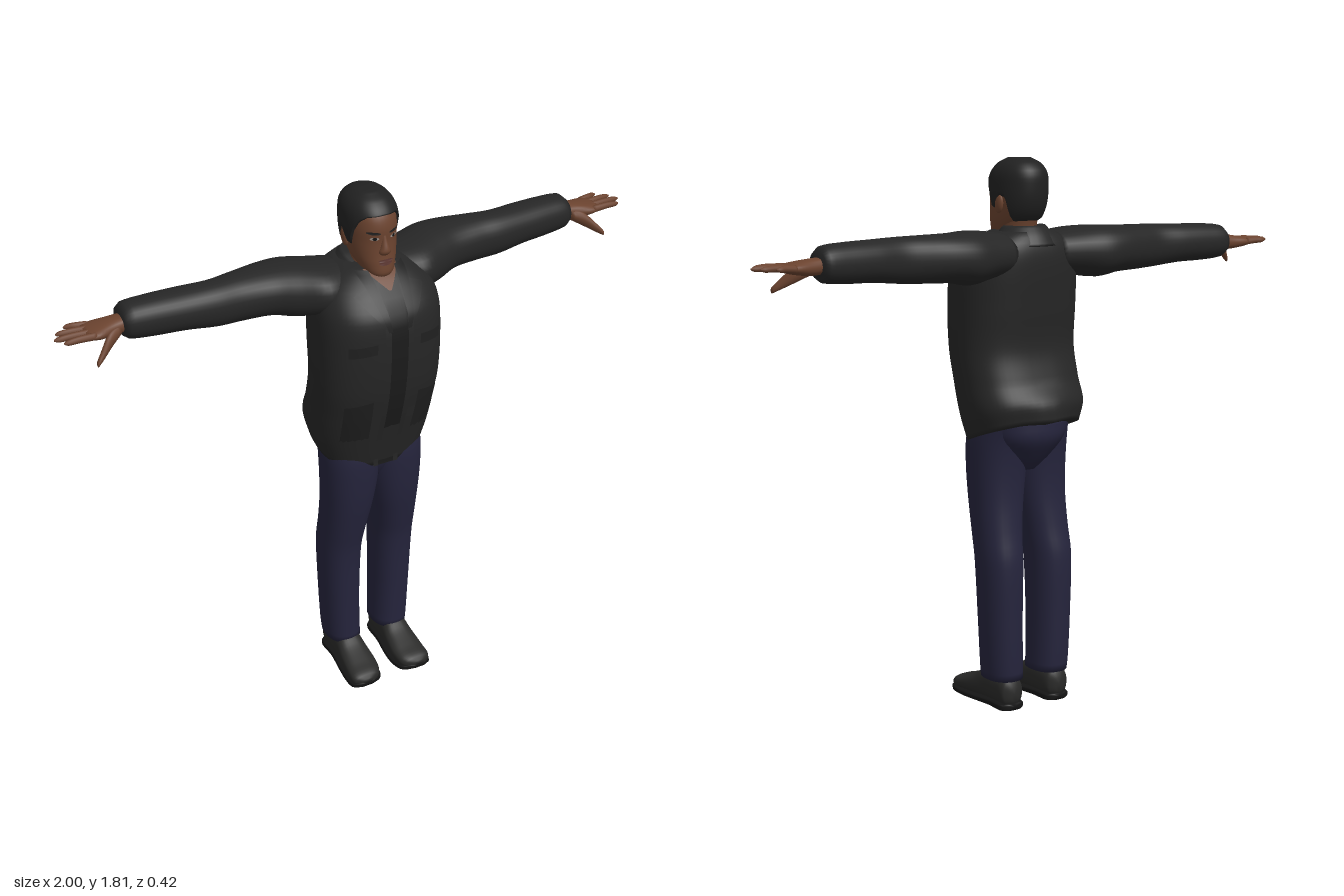
import * as THREE from 'three';

const mat = (name, color) => Object.assign(new THREE.MeshStandardMaterial({ color }), { name });

// Smooth interpolation of section rows [t, aMin, aMax, bMin, bMax] at position t.
function at(rows, t) {
  const n = rows.length - 1;
  let i = 0;
  while (i < n - 1 && t > rows[i + 1][0]) i++;
  const r0 = rows[i], r1 = rows[i + 1], d = r1[0] - r0[0];
  const s = Math.min(1, Math.max(0, (t - r0[0]) / d));
  const slope = (k, c) => {
    const p = rows[Math.max(0, k - 1)], q = rows[Math.min(n, k + 1)];
    return (q[c] - p[c]) / (q[0] - p[0]);
  };
  return [1, 2, 3, 4].map(c =>
    r0[c] * (1 + 2 * s) * (1 - s) ** 2 + r1[c] * s * s * (3 - 2 * s)
    + d * (slope(i, c) * s * (1 - s) ** 2 + slope(i + 1, c) * s * s * (s - 1)));
}

// Point on a superellipse section; axis 0, 1, 2 is the x, y or z direction of t.
function sectionPoint(rows, axis, t, u, p, grow = 0) {
  const [a0, a1, b0, b1] = at(rows, t), e = 2 / p;
  const c = Math.cos(u), s = Math.sin(u), v = [0, 0, 0];
  v[axis] = t;
  v[(axis + 1) % 3] = (a0 + a1) / 2 + ((a1 - a0) / 2 + grow) * Math.sign(c) * Math.abs(c) ** e;
  v[(axis + 2) % 3] = (b0 + b1) / 2 + ((b1 - b0) / 2 + grow) * Math.sign(s) * Math.abs(s) ** e;
  return new THREE.Vector3(...v);
}

// Closed skin over a grid of rings.
function skinRings(rings) {
  const pos = [], idx = [], m = rings[0].length, n = rings.length;
  rings.forEach(r => r.forEach(v => pos.push(v.x, v.y, v.z)));
  for (let i = 0; i < n - 1; i++) for (let j = 0; j < m; j++) {
    const a = i * m + j, b = i * m + (j + 1) % m;
    idx.push(a, b, b + m, a, b + m, a + m);
  }
  [0, n - 1].forEach((k, end) => {
    const c = rings[k].reduce((s, v) => s.add(v), new THREE.Vector3()).divideScalar(m);
    const id = pos.push(c.x, c.y, c.z) / 3 - 1;
    for (let j = 0; j < m; j++) {
      const a = k * m + j, b = k * m + (j + 1) % m;
      end ? idx.push(a, b, id) : idx.push(b, a, id);
    }
  });
  const g = new THREE.BufferGeometry();
  g.setAttribute('position', new THREE.Float32BufferAttribute(pos, 3));
  g.setIndex(idx);
  g.computeVertexNormals();
  return g;
}

function loft(rows, axis, { p = 2, steps = 24, segs = 32, warp = v => v } = {}) {
  const t0 = rows[0][0], t1 = rows[rows.length - 1][0];
  return skinRings(Array.from({ length: steps + 1 }, (_, i) =>
    Array.from({ length: segs }, (_, j) =>
      warp(sectionPoint(rows, axis, t0 + (t1 - t0) * i / steps, j / segs * 2 * Math.PI, p)))));
}

function mirrored(g) {
  const m = g.clone().scale(-1, 1, 1), ix = m.index.array;
  for (let i = 0; i < ix.length; i += 3) [ix[i], ix[i + 1]] = [ix[i + 1], ix[i]];
  m.computeVertexNormals();
  return m;
}

// Front z of an upright loft at (x, y).
function frontZ(rows, p, x, y) {
  const [z0, z1, x0, x1] = at(rows, y);
  const k = Math.min(1, Math.abs((x - (x0 + x1) / 2) / ((x1 - x0) / 2)));
  return (z0 + z1) / 2 + (z1 - z0) / 2 * (1 - k ** p) ** (1 / p);
}

// Lays a flat geometry onto the front of a loft.
function drape(g, rows, p, off) {
  const a = g.attributes.position;
  for (let i = 0; i < a.count; i++) a.setZ(i, frontZ(rows, p, a.getX(i), a.getY(i)) + off);
  g.computeVertexNormals();
  return g;
}

// Four-cornered panel: top left, top right, bottom left, bottom right.
function panel(tl, tr, bl, br, rows, p, off) {
  const g = new THREE.PlaneGeometry(1, 1, 8, 16), a = g.attributes.position;
  for (let i = 0; i < a.count; i++) {
    const u = a.getX(i) + 0.5, v = 0.5 - a.getY(i);
    const mix = k => (tl[k] * (1 - u) + tr[k] * u) * (1 - v) + (bl[k] * (1 - u) + br[k] * u) * v;
    a.setXY(i, mix(0), mix(1));
  }
  return drape(g, rows, p, off);
}

const JACKET = [
  [0.915, -0.175, 0.115, -0.183, 0.183], [1.0, -0.18, 0.14, -0.203, 0.203], [1.1, -0.145, 0.17, -0.207, 0.207],
  [1.2, -0.118, 0.192, -0.209, 0.209], [1.34, -0.13, 0.203, -0.209, 0.209], [1.45, -0.14, 0.195, -0.203, 0.203],
  [1.51, -0.14, 0.155, -0.185, 0.185], [1.55, -0.13, 0.115, -0.15, 0.15], [1.58, -0.11, 0.075, -0.095, 0.095]];
const HEAD = [
  [1.552, 0.06, 0.1, -0.02, 0.02], [1.565, 0.01, 0.115, -0.042, 0.042], [1.6, -0.05, 0.114, -0.062, 0.062],
  [1.63, -0.08, 0.11, -0.071, 0.071], [1.67, -0.098, 0.107, -0.076, 0.076], [1.72, -0.104, 0.107, -0.077, 0.077],
  [1.76, -0.1, 0.093, -0.071, 0.071], [1.788, -0.076, 0.062, -0.052, 0.052], [1.803, -0.04, 0.025, -0.025, 0.025]];
const JP = 2.6, HP = 2.2;

// Hairline height against the angle away from the face.
const HAIRLINE = [[0, 1.757], [0.6, 1.754], [0.95, 1.737], [1.2, 1.7], [1.35, 1.65], [1.5, 1.652], [1.65, 1.69],
  [1.9, 1.685], [2.1, 1.63], [2.4, 1.606], [3.15, 1.6]];
function hairline(u) {
  const i = Math.max(1, HAIRLINE.findIndex(h => h[0] >= u)), [a, b] = [HAIRLINE[i - 1], HAIRLINE[i]];
  return THREE.MathUtils.lerp(a[1], b[1], (u - a[0]) / (b[0] - a[0]));
}

export function createModel() {
  const model = new THREE.Group();
  model.name = 'standingMan';
  const cloth = mat('jacketCloth', 0x262626), trim = mat('jacketTrim', 0x202020), shirtMat = mat('shirt', 0x1b1b1b);
  const denim = mat('trousers', 0x25243c), skin = mat('skin', 0x6b432f), lip = mat('lips', 0x5c3732);
  const hairMat = mat('hair', 0x212121), leather = mat('shoeLeather', 0x2a2a29), soleMat = mat('sole', 0x151515);
  const eyeMat = mat('eyeWhite', 0x9a8f88);
  const add = (name, g, m) => {
    const mesh = new THREE.Mesh(g, m);
    mesh.name = name;
    model.add(mesh);
  };
  const pair = (name, g, m) => {
    add(name + 'Left', g, m);
    add(name + 'Right', mirrored(g), m);
  };

  // Jacket body, with a hem that dips in front and lifts behind
  add('jacketBody', loft(JACKET, 1, { p: JP, steps: 40, segs: 56, warp: v => {
    const k = Math.max(0, (1.1 - v.y) / 0.185);
    v.y += k * (v.z > 0 ? -0.35 * v.z : -0.35 * v.z);
    if (v.z < 0) v.z -= k * 0.03 * Math.max(0, 1 - Math.abs(v.x) / 0.1);
    return v;
  } }), cloth);
  const jPanel = (tl, tr, bl, br, off) => panel(tl, tr, bl, br, JACKET, JP, off);
  add('shirtFront', jPanel([-0.035, 1.55], [0.035, 1.55], [-0.03, 0.875], [0.03, 0.875], 0.004), shirtMat);
  add('throat', jPanel([-0.058, 1.58], [0.058, 1.58], [-0.004, 1.527], [0.004, 1.527], 0.006), skin);
  pair('frontEdge', jPanel([0.03, 1.47], [0.05, 1.47], [0.028, 0.875], [0.045, 0.875], 0.007), cloth);
  pair('lapel', jPanel([0.045, 1.578], [0.085, 1.578], [0.026, 1.42], [0.04, 1.42], 0.01), trim);
  pair('lapelWing', jPanel([0.055, 1.55], [0.12, 1.525], [0.032, 1.43], [0.045, 1.43], 0.008), cloth);
  pair('chestFlap', jPanel([0.075, 1.385], [0.16, 1.375], [0.075, 1.35], [0.16, 1.34], 0.006), trim);
  pair('sidePocket', jPanel([0.08, 1.17], [0.165, 1.15], [0.075, 0.99], [0.16, 0.99], 0.006), trim);

  // Collar standing around the neck, lower at the throat
  add('collar', loft([[1.535, -0.145, 0.075, -0.115, 0.115], [1.57, -0.125, 0.068, -0.095, 0.095],
    [1.598, -0.1, 0.055, -0.072, 0.072]], 1, { steps: 8, warp: v => {
    v.y -= Math.max(0, v.z + 0.02) * 0.5;
    return v;
  } }), cloth);

  // Sleeves
  pair('sleeve', loft([[0.09, 1.44, 1.575, -0.13, 0.07], [0.17, 1.43, 1.585, -0.155, 0.09], [0.25, 1.42, 1.59, -0.178, 0.05],
    [0.32, 1.432, 1.587, -0.174, 0.018], [0.42, 1.436, 1.585, -0.15, 0.002], [0.5, 1.44, 1.583, -0.135, 0],
    [0.6, 1.45, 1.58, -0.145, -0.01], [0.7, 1.453, 1.577, -0.15, -0.022], [0.775, 1.46, 1.57, -0.15, -0.034],
    [0.79, 1.472, 1.556, -0.142, -0.044]], 0, { p: 2.2, steps: 44 }), cloth);

  // Hands
  pair('palm', loft([[0.77, 1.487, 1.538, -0.122, -0.058], [0.82, 1.484, 1.534, -0.128, -0.052],
    [0.87, 1.49, 1.527, -0.137, -0.038], [0.905, 1.498, 1.52, -0.134, -0.042]], 0, { p: 2.4, steps: 12, segs: 20 }), skin);
  [[-0.127, -0.14, 0.95], [-0.102, -0.11, 0.985], [-0.077, -0.079, 1.0], [-0.051, -0.048, 0.98]].forEach(([z0, z1, tip], i) => {
    const row = (t, z, y, r) => [t, y - r, y + r, z - r, z + r];
    pair('finger' + (i + 1), loft([row(0.88, z0, 1.51, 0.012), row((0.89 + tip) / 2, (z0 + z1) / 2, 1.513, 0.0105),
      row(tip - 0.01, z1, 1.512, 0.008), row(tip, z1, 1.512, 0.003)], 0, { steps: 10, segs: 10 }), skin);
  });
  pair('thumb', loft([[0.8, 1.484, 1.522, -0.09, -0.052], [0.84, 1.462, 1.51, -0.065, -0.03],
    [0.875, 1.442, 1.475, -0.035, -0.01], [0.898, 1.43, 1.448, -0.016, 0]], 0, { steps: 10, segs: 12 }), skin);

  // Neck and head
  add('neck', loft([[1.5, -0.075, 0.075, -0.075, 0.075], [1.57, -0.065, 0.06, -0.057, 0.057],
    [1.65, -0.08, 0.05, -0.055, 0.055]], 1, { steps: 10 }), skin);
  add('head', loft(HEAD, 1, { p: HP, steps: 32, segs: 40 }), skin);
  const hairRings = Array.from({ length: 17 }, (_, i) => Array.from({ length: 64 }, (_, j) => {
    const u = j / 64 * 2 * Math.PI, low = hairline(Math.min(u, 2 * Math.PI - u));
    const v = sectionPoint(HEAD, 1, THREE.MathUtils.lerp(low, 1.803, i / 16), u, HP, i ? 0.008 : -0.002);
    v.y += 0.008 * (i / 16);
    return v;
  }));
  add('hair', skinRings(hairRings.slice()), hairMat);
  pair('ear', new THREE.SphereGeometry(1, 16, 12).scale(0.01, 0.03, 0.019).rotateX(-0.2).translate(0.078, 1.665, -0.005), skin);

  // Face
  add('nose', loft([[1.632, 0.095, 0.113, -0.012, 0.012], [1.642, 0.09, 0.124, -0.02, 0.02],
    [1.655, 0.09, 0.124, -0.015, 0.015], [1.68, 0.09, 0.114, -0.009, 0.009], [1.705, 0.092, 0.105, -0.006, 0.006]],
    1, { steps: 12, segs: 16 }), skin);
  const spot = (x, y, w, h, off, tilt = 0) =>
    drape(new THREE.CircleGeometry(1, 20).scale(w, h, 1).rotateZ(tilt).translate(x, y, 0), HEAD, HP, off);
  pair('eye', spot(0.032, 1.689, 0.013, 0.0055, 0.002), eyeMat);
  pair('iris', spot(0.032, 1.689, 0.006, 0.0055, 0.003), soleMat);
  pair('eyebrow', spot(0.034, 1.707, 0.02, 0.0045, 0.003, 0.08), hairMat);
  add('lowerLip', spot(0, 1.607, 0.022, 0.007, 0.004), lip);
  add('upperLip', spot(0, 1.616, 0.025, 0.005, 0.006), lip);

  // Trousers
  pair('trouserLeg', loft([[0.1, -0.112, 0.044, 0.03, 0.152], [0.14, -0.115, 0.044, 0.031, 0.156],
    [0.3, -0.118, 0.048, 0.033, 0.163], [0.5, -0.118, 0.06, 0.028, 0.169], [0.6, -0.1, 0.08, 0.018, 0.169],
    [0.7, -0.088, 0.1, 0.002, 0.17], [0.8, -0.088, 0.112, -0.012, 0.173], [0.9, -0.1, 0.115, -0.02, 0.173],
    [0.97, -0.12, 0.1, -0.02, 0.165]], 1, { p: 2.3, steps: 36 }), denim);
  add('trouserSeat', loft([[0.8, -0.07, 0.07, -0.06, 0.06], [0.85, -0.112, 0.095, -0.1, 0.1],
    [0.91, -0.15, 0.11, -0.14, 0.14], [0.97, -0.15, 0.11, -0.16, 0.16]], 1, { p: 2.2, steps: 12 }), denim);

  // Shoes
  pair('shoe', loft([[-0.112, 0.075, 0.108, 0.03, 0.08], [-0.1, 0.055, 0.13, 0.015, 0.105], [-0.05, 0.047, 0.135, 0.012, 0.125],
    [0.02, 0.044, 0.138, 0.012, 0.125], [0.07, 0.038, 0.145, 0.012, 0.095], [0.13, 0.036, 0.15, 0.012, 0.07],
    [0.175, 0.05, 0.148, 0.014, 0.055], [0.19, 0.08, 0.125, 0.022, 0.042]], 2, { p: 2.5, steps: 28 }), leather);
  pair('shoeSole', loft([[-0.112, 0.065, 0.118, 0.002, 0.024], [-0.095, 0.048, 0.138, 0, 0.024], [-0.02, 0.045, 0.138, 0, 0.022],
    [0.07, 0.032, 0.15, 0, 0.02], [0.13, 0.031, 0.156, 0.001, 0.021], [0.175, 0.045, 0.152, 0.006, 0.026],
    [0.192, 0.078, 0.128, 0.014, 0.03]], 2, { p: 5, steps: 24 }), soleMat);

  return model;
}
